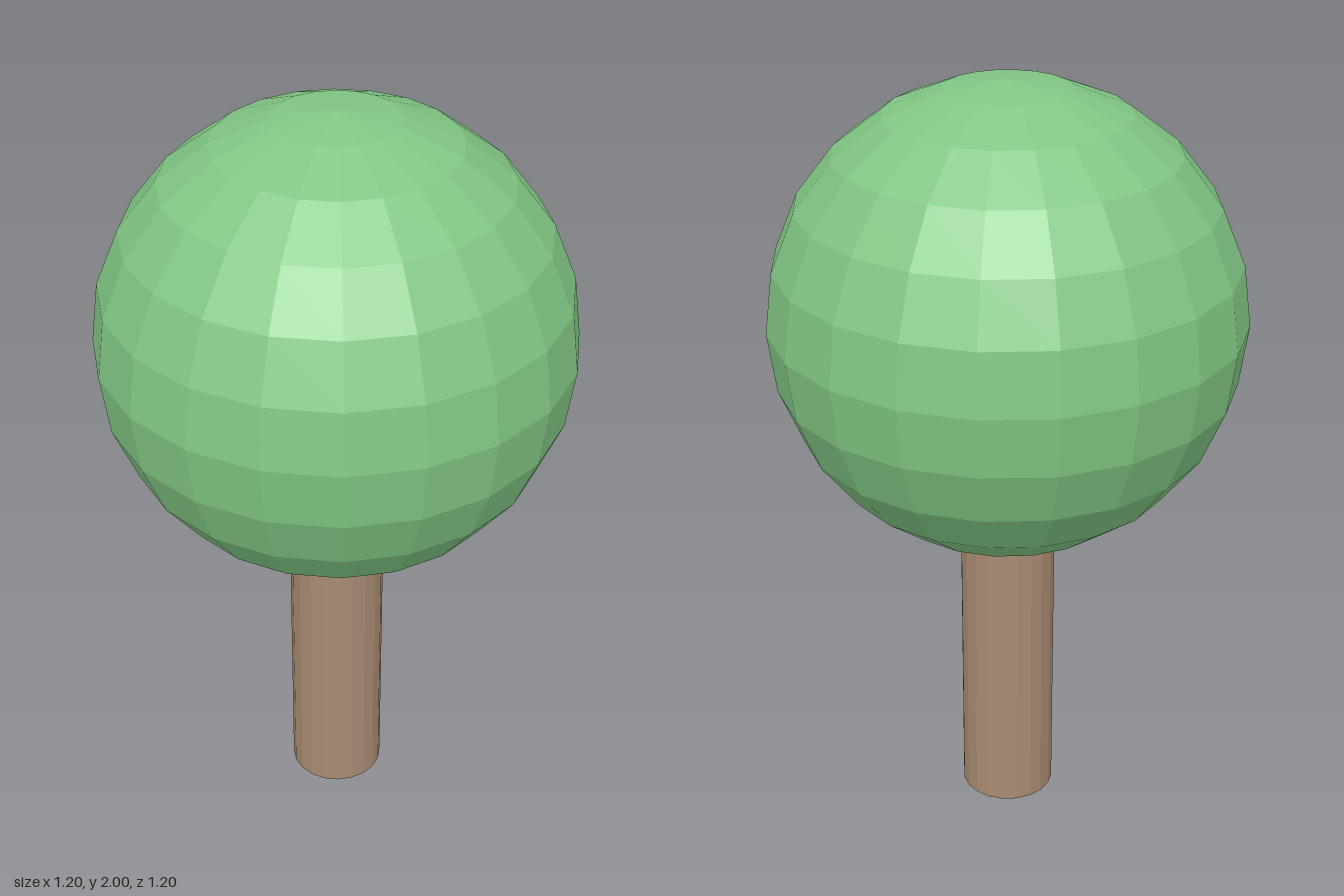
import * as THREE from 'three';

export function createModel() {
  const tree = new THREE.Group();
  tree.name = 'tree';

  const addPart = (name, geometry, color, y) => {
    const material = new THREE.MeshStandardMaterial({ color, flatShading: true });
    const mesh = new THREE.Mesh(geometry, material);
    mesh.name = name;
    mesh.position.y = y;
    tree.add(mesh);
  };

  // Straight trunk, ending just inside the crown
  const trunkHeight = 0.9;
  addPart('trunk', new THREE.CylinderGeometry(0.124, 0.124, trunkHeight, 20), 0xa88b72, trunkHeight / 2);

  // Faceted round crown
  addPart('crown', new THREE.SphereGeometry(0.6, 20, 12), 0x81c784, 1.4);

  return tree;
}
